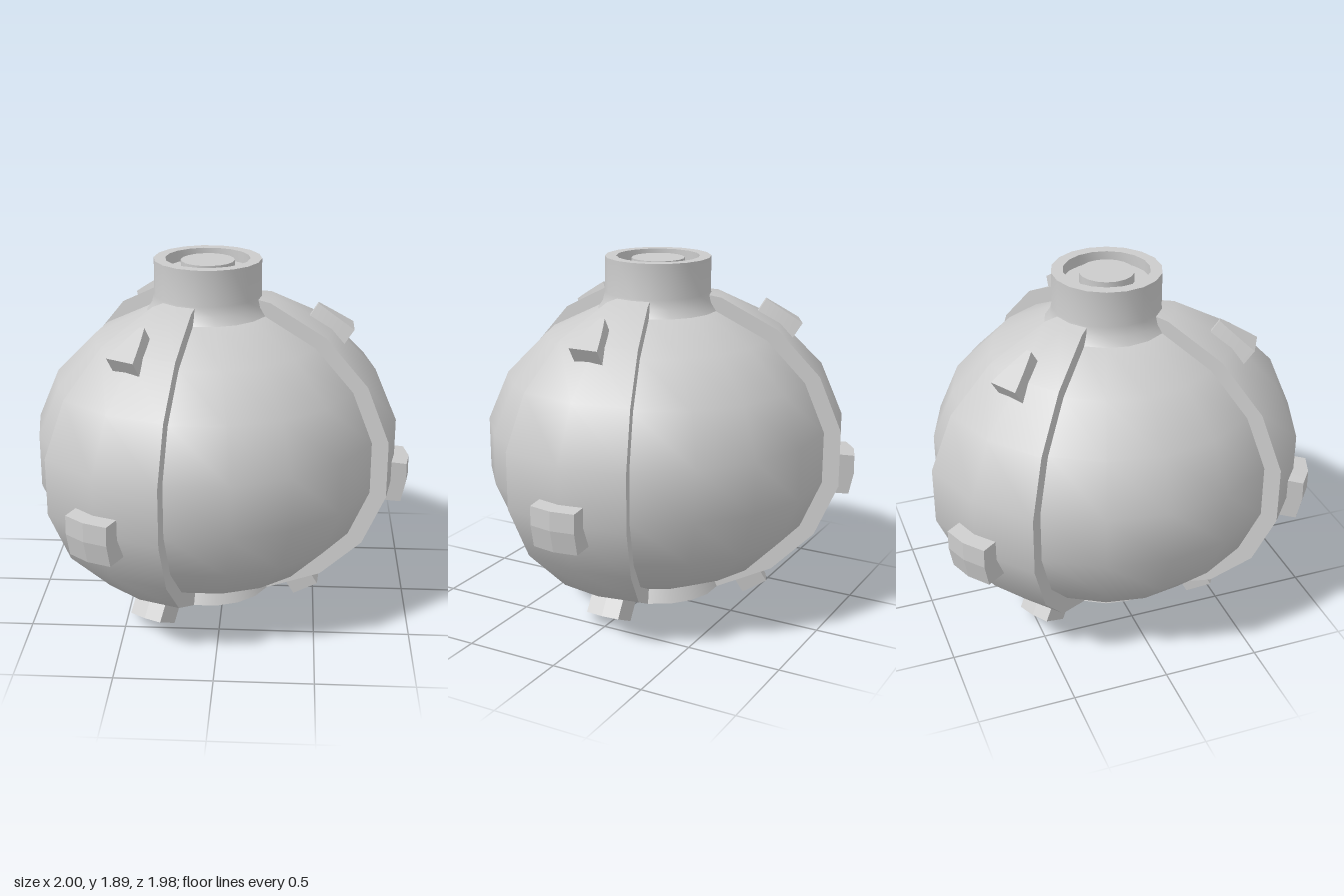
import * as THREE from 'three';
import { toCreasedNormals } from 'three/addons/utils/BufferGeometryUtils.js';

const MID_Y = 0.873;
const AXIS_X = -0.085;
const SEGMENTS = 18;
const STEP = (Math.PI * 2) / SEGMENTS;
const material = new THREE.MeshStandardMaterial({ color: 0xcccccc });
const thinMaterial = new THREE.MeshStandardMaterial({ color: 0xcccccc, side: THREE.DoubleSide });

function add(parent, name, geometry, mat = material) {
  const mesh = new THREE.Mesh(geometry, mat);
  mesh.name = name;
  parent.add(mesh);
  return mesh;
}

const points = (list) => list.map(([x, y]) => new THREE.Vector2(x, y));

// Rings of a flattened sphere, bottom pole to top pole, every 20 degrees
function ellipsoidProfile(rh, rv) {
  return Array.from({ length: 10 }, (_, i) => new THREE.Vector2(
    i % 9 === 0 ? 0 : rh * Math.sin(i * STEP),
    MID_Y - rv * Math.cos(i * STEP)));
}

function turn(profile) {
  return new THREE.LatheGeometry(profile, SEGMENTS, Math.PI / 2);
}

// Side outline in (radius, height) extruded across; the centre bulges outward
function lugGeometry(outline, width, bulge) {
  const g = new THREE.ExtrudeGeometry(new THREE.Shape(points(outline)),
    { depth: width, steps: 2, bevelEnabled: false });
  g.translate(0, 0, -width / 2);
  const p = g.attributes.position;
  for (let i = 0; i < p.count; i++) {
    p.setX(i, p.getX(i) - bulge * Math.abs(p.getZ(i)) / (width / 2));
  }
  return toCreasedNormals(g, 0.1);
}

// Arrowhead plate lying on the upper slope, with its point uphill
function wedgeGeometry() {
  const length = 0.222, half = 0.08, depth = 0.12;
  const s = new THREE.Shape();
  s.moveTo(0, -0.014);
  s.quadraticCurveTo(length * 0.45, -0.05, length, -half);
  s.lineTo(length, half);
  s.quadraticCurveTo(length * 0.45, 0.05, 0, 0.014);
  s.closePath();
  const g = new THREE.ExtrudeGeometry(s, { depth, bevelEnabled: false, curveSegments: 4 });
  g.translate(0, 0, -depth);
  const down = new THREE.Vector3(0.84, -0.54, 0).normalize();
  const out = new THREE.Vector3(0.54, 0.84, 0).normalize();
  const across = new THREE.Vector3().crossVectors(out, down);
  g.applyMatrix4(new THREE.Matrix4().makeBasis(down, across, out).setPosition(0.575, 1.665, 0));
  return toCreasedNormals(g, 0.5);
}

export function createModel() {
  const model = new THREE.Group();
  model.name = 'ribbedSphere';
  const body = new THREE.Group();
  body.name = 'body';
  body.position.x = AXIS_X;
  model.add(body);

  const inner = ellipsoidProfile(0.93, 0.793);
  const outer = ellipsoidProfile(1.02, 0.87);

  // Inner shell and the raised cap underneath
  add(body, 'shell', turn(inner));
  add(body, 'bottomCap', turn(outer.slice(0, 2)));
  add(body, 'bottomCapRim', turn([outer[1], inner[1]]));

  // Neck with flared foot, recessed ring and centre plug
  const neck = turn(points([
    [0.32, 1.618], [0.292, 1.66], [0.28, 1.71], [0.28, 1.895], [0.22, 1.895],
    [0.22, 1.835], [0.14, 1.835], [0.14, 1.885], [0, 1.885],
  ]));
  add(body, 'neck', toCreasedNormals(neck, 0.6));

  // Three raised bands, each with three lugs
  const wall = new THREE.Shape([...outer.slice(1), ...inner.slice(1).reverse()]);
  const midLug = lugGeometry(
    [[0.85, 0.62], [1.06, 0.602], [1.085, 0.72], [1.083, 0.82], [0.85, 0.845]], 0.25, 0.02);
  const lowLug = lugGeometry(
    [[0.485, 0.01], [0.615, 0.075], [0.54, 0.2], [0.41, 0.135]], 0.19, 0.008);
  const wedge = wedgeGeometry();
  for (let i = 0; i < 3; i++) {
    const band = new THREE.Group();
    band.name = 'band';
    band.rotation.y = (i * Math.PI * 2) / 3;
    body.add(band);
    add(band, 'bandSurface',
      new THREE.LatheGeometry(outer.slice(1), 2, Math.PI / 2 - STEP, STEP * 2));
    for (const side of [-1, 1]) {
      add(band, 'bandEdge', new THREE.ShapeGeometry(wall).rotateY(side * STEP), thinMaterial);
    }
    add(band, 'upperLug', wedge);
    add(band, 'middleLug', midLug);
    add(band, 'lowerLug', lowLug);
  }
  return model;
}
